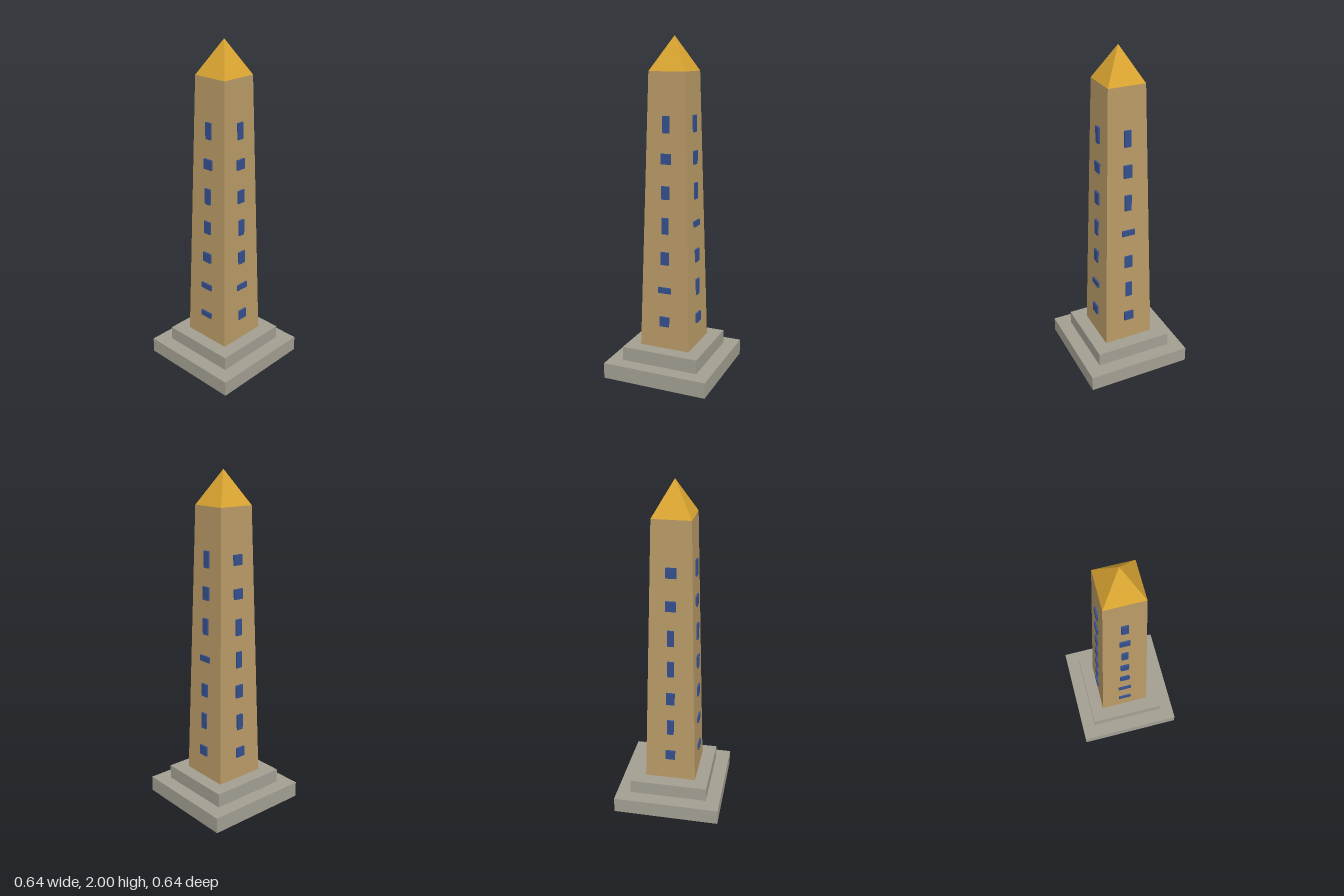
import * as THREE from 'three';

const mat = (name, color) => {
  const m = new THREE.MeshStandardMaterial({ color, flatShading: true });
  m.name = name;
  return m;
};

// Square block whose half-width goes from 'bottom' at y0 to 'top' at y1
function squareBlock(name, material, bottom, top, y0, y1) {
  const geo = new THREE.CylinderGeometry(top * Math.SQRT2, bottom * Math.SQRT2, y1 - y0, 4);
  geo.rotateY(Math.PI / 4);
  const mesh = new THREE.Mesh(geo, material);
  mesh.name = name;
  mesh.position.y = (y0 + y1) / 2;
  return mesh;
}

export function createModel() {
  const model = new THREE.Group();
  model.name = 'obelisk';
  const stone = mat('greyStone', 0xa39f92);
  const sand = mat('sandstone', 0xb99a66);
  const gold = mat('gold', 0xdaa531);
  const blue = mat('blueInlay', 0x35508f);

  // Stepped plinth, tapering shaft and pointed cap
  const y0 = 0.18, y1 = 1.805, wide = 0.155, narrow = 0.1115;
  model.add(
    squareBlock('lowerStep', stone, 0.322, 0.322, 0, 0.095),
    squareBlock('upperStep', stone, 0.237, 0.237, 0.095, y0),
    squareBlock('shaft', sand, wide, narrow, y0, y1),
    squareBlock('cap', gold, narrow, 0, y1, 2),
  );

  // Inlaid tablets: flat, square, upright and tall, listed from the bottom row up
  const sizes = { f: [0.08, 0.035], s: [0.06, 0.06], u: [0.05, 0.077], t: [0.04, 0.096] };
  const sides = [
    ['front', 'ffsutst'],
    ['left', 'sfutust'],
    ['back', 'stuftut'],
    ['right', 'stuttss'],
  ];
  sides.forEach(([side, rows], i) => {
    const column = new THREE.Group();
    column.name = side + 'Tablets';
    column.rotation.y = i * Math.PI / 2;
    [...rows].forEach((kind, row) => {
      const y = 0.348 + row * 0.1942;
      const face = THREE.MathUtils.mapLinear(y, y0, y1, wide, narrow);
      const tablet = new THREE.Mesh(new THREE.BoxGeometry(...sizes[kind], 0.02), blue);
      tablet.name = 'tablet';
      tablet.position.set(0, y, face);
      column.add(tablet);
    });
    model.add(column);
  });
  return model;
}
